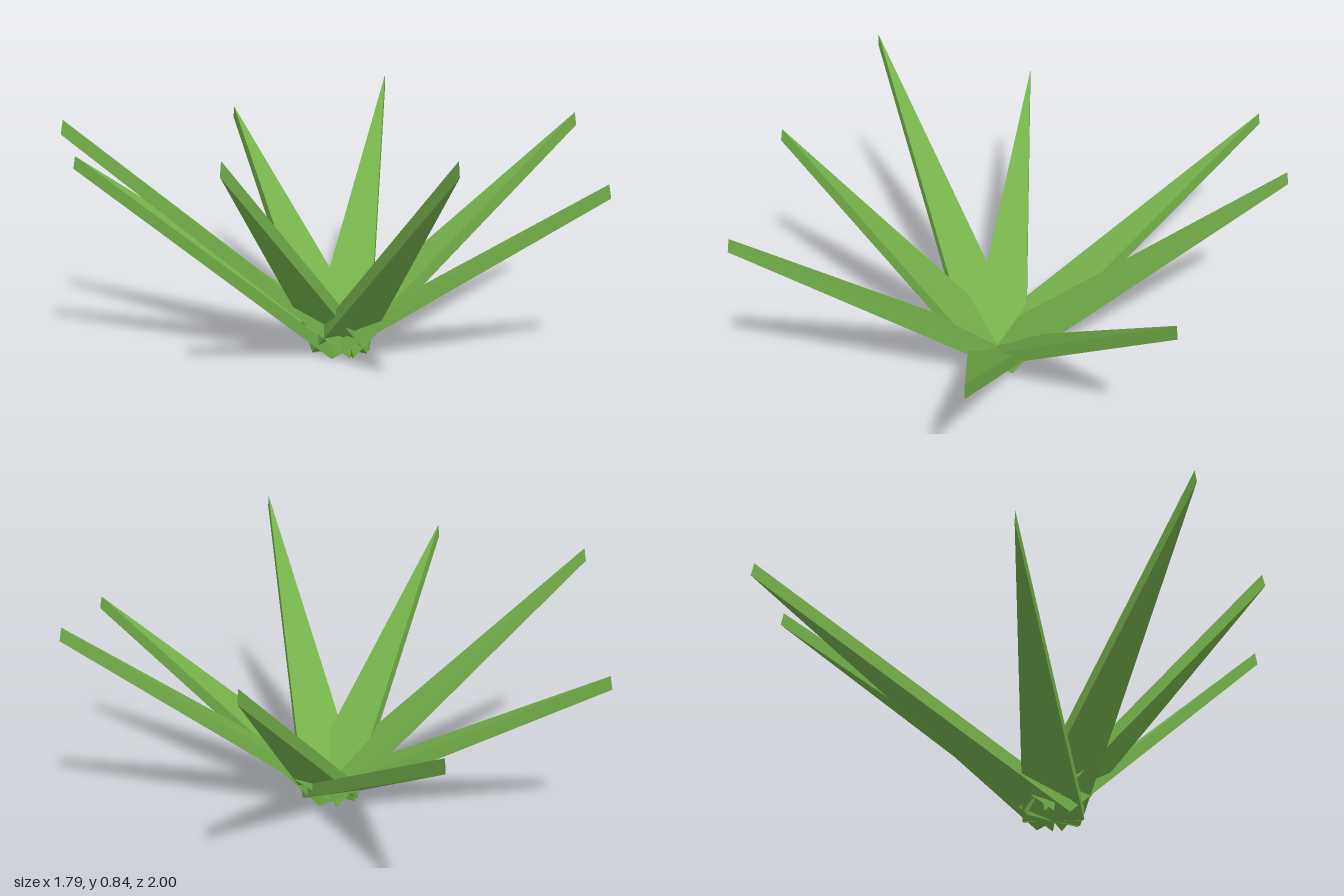
import * as THREE from 'three';

const BASE = new THREE.Vector3(-0.007, 0, 0.1); // point where all the blades meet
const HALF_WIDTH = 0.1;
const THICKNESS = 0.045;
const LEAN = 0.008; // slight inward lean of the upper face

// Lower corner of each blade tip: x, y, z
const TIPS = [
  [0.05, 0.58, -1.0],
  [0.535, 0.72, -0.66],
  [0.893, 0.685, 0.1],
  [0.653, 0.58, 0.665],
  [-0.077, 0.795, 1.0],
  [-0.593, 0.75, 0.55],
  [-0.895, 0.79, -0.01],
  [-0.715, 0.548, -0.55],
];

// A thin triangular slab, sheared upwards and turned towards its tip
function makeBlade([x, y, z]) {
  const dx = x - BASE.x;
  const dz = z - BASE.z;
  const length = Math.hypot(dx, dz);
  const outline = new THREE.Shape([
    new THREE.Vector2(-HALF_WIDTH, 0),
    new THREE.Vector2(HALF_WIDTH, 0),
    new THREE.Vector2(0, length),
  ]);
  const geometry = new THREE.ExtrudeGeometry(outline, { depth: THICKNESS, bevelEnabled: false });
  geometry.rotateX(-Math.PI / 2);
  const p = geometry.attributes.position;
  for (let i = 0; i < p.count; i++) {
    const h = p.getY(i);
    const along = -p.getZ(i);
    p.setY(i, h + (along * y) / length);
    p.setZ(i, -along + (h / THICKNESS) * LEAN);
  }
  geometry.rotateY(Math.atan2(-dx, -dz));
  geometry.computeVertexNormals();
  return geometry;
}

export function createModel() {
  const group = new THREE.Group();
  group.name = 'grassTuft';
  const leafGreen = new THREE.MeshStandardMaterial({ color: 0x74b04a });
  leafGreen.name = 'leafGreen';

  // Ring of blades
  TIPS.forEach((tip, i) => {
    const blade = new THREE.Mesh(makeBlade(tip), leafGreen);
    blade.name = `blade${i + 1}`;
    blade.position.copy(BASE);
    group.add(blade);
  });
  return group;
}
